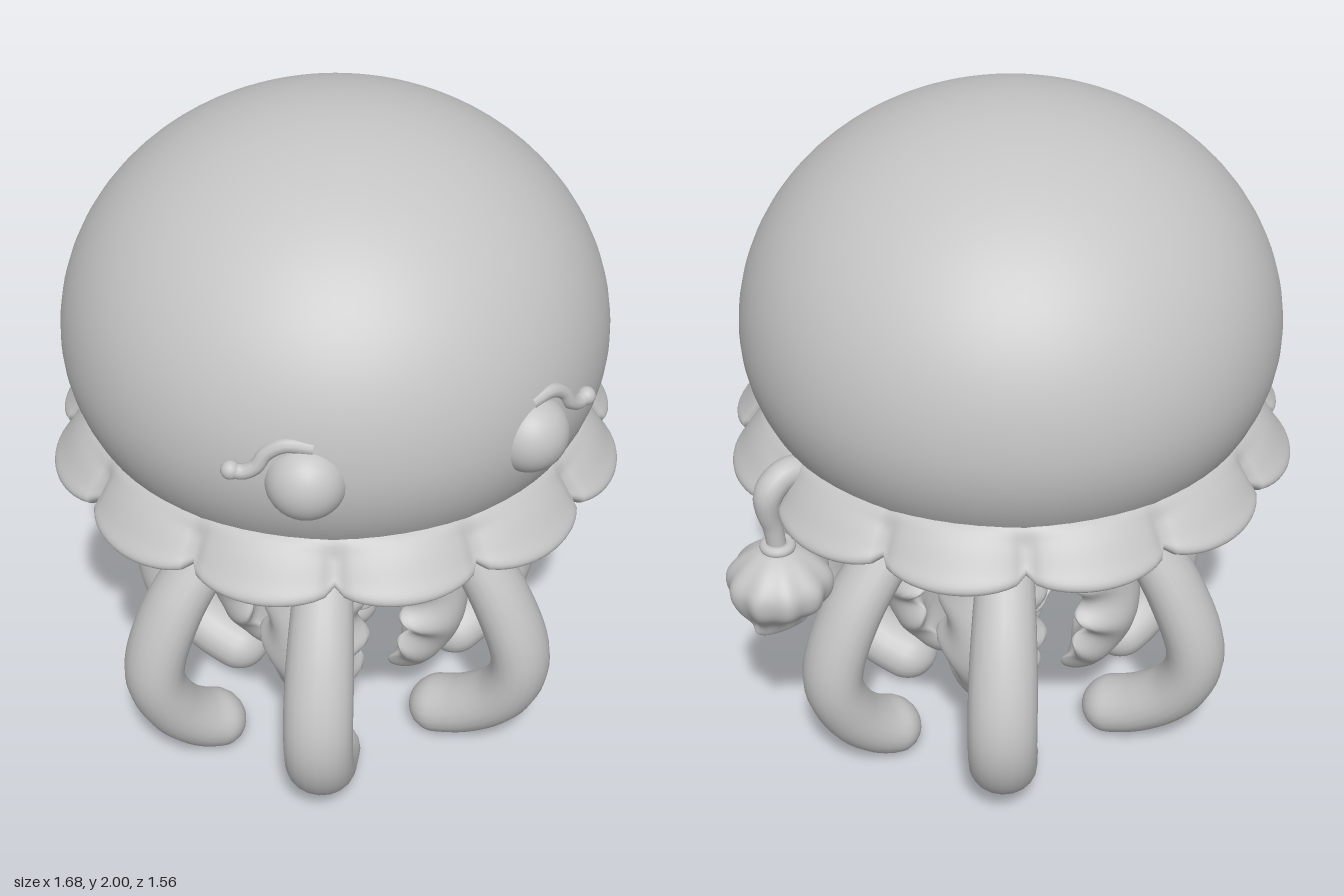
import * as THREE from 'three';

const grey = new THREE.MeshStandardMaterial({ color: 0xc4c4c4 });
grey.name = 'plain grey';

// Closed smooth surface from f(u, v) -> [x, y, z]; v (0..2PI) wraps, and faces are turned outward.
function loft(nu, nv, f) {
  const pos = [], idx = [];
  for (let i = 0; i <= nu; i++)
    for (let j = 0; j < nv; j++) pos.push(...f(i / nu, (j / nv) * Math.PI * 2));
  for (let i = 0; i < nu; i++)
    for (let j = 0; j < nv; j++) {
      const k = (j + 1) % nv, a = i * nv + j, b = i * nv + k, c = a + nv, d = b + nv;
      idx.push(a, c, b, b, c, d);
    }
  const p = (n) => new THREE.Vector3().fromArray(pos, idx[n] * 3);
  let volume = 0;
  for (let n = 0; n < idx.length; n += 3) volume += p(n).dot(p(n + 1).cross(p(n + 2)));
  if (volume < 0) idx.reverse();
  const g = new THREE.BufferGeometry();
  g.setAttribute('position', new THREE.Float32BufferAttribute(pos, 3));
  g.setIndex(idx);
  g.computeVertexNormals();
  return g;
}

const spline = (pts) => new THREE.SplineCurve(pts.map(([x, y]) => new THREE.Vector2(x, y)));

// Limb following a (radius, height) curve; section(u, v) gives [radial, sideways] offsets.
function limb(pts, nu, nv, section) {
  const curve = spline(pts);
  return loft(nu, nv, (u0, v) => {
    const u = 1 - Math.pow(1 - u0, 1.6);
    const c = curve.getPointAt(u), t = curve.getTangentAt(u);
    const [a, b] = section(u, v);
    return [c.x - t.y * a, c.y + t.x * a, b];
  });
}

// Rounded end for a limb
const roundEnd = (u, len) => (u < 1 - len ? 1 : Math.sqrt(Math.max(0, 1 - ((u - 1 + len) / len) ** 2)));

// Bell outline and points on its surface; angle is measured from +z toward +x
const bellR = 0.742, bellY = 1.36;
const bellRadius = (y) => bellR * Math.sqrt(Math.max(0, 1 - ((y - bellY) / (y > bellY ? 0.64 : 0.56)) ** 2));
function onBell(angle, y, out = 0) {
  const r = bellRadius(y) + out;
  return new THREE.Vector3(Math.sin(angle) * r, y, Math.cos(angle) * r);
}

export function createModel() {
  const model = new THREE.Group();
  model.name = 'jellyfish';
  model.position.x = -0.062;
  const add = (name, geometry, parent = model) => {
    const m = new THREE.Mesh(geometry, grey);
    m.name = name;
    parent.add(m);
    return m;
  };

  // Domed bell
  const outline = [];
  for (let i = 0; i <= 40; i++) {
    const a = -0.45 + (i / 40) * (Math.PI / 2 + 0.45);
    outline.push(new THREE.Vector2(Math.max(0, bellR * Math.cos(a)), bellY + Math.sin(a) * (a > 0 ? 0.64 : 0.56)));
  }
  add('bell', new THREE.LatheGeometry(outline, 72));

  // Scalloped skirt of twelve petals, with the hollow underside; its top closes inside the bell
  add('skirt', loft(52, 192, (u, v) => {
    const s = Math.sqrt(Math.abs(Math.sin(6 * v)));
    const p = spline([
      [0, 1.14], [0.28, 1.13], [0.48, 1.085], [0.61, 1.03], [0.69 + 0.02 * s, 1.015 - 0.04 * s],
      [0.72 + 0.055 * s, 1.015 - 0.033 * s], [0.727 + 0.065 * s, 1.03 - 0.025 * s], [0.715 + 0.05 * s, 1.05 - 0.005 * s],
      [0.695 + 0.02 * s, 1.085 + 0.025 * s], [0.66, 1.15], [0.5, 1.21], [0, 1.21],
    ]).getPoint(u);
    return [Math.sin(v) * p.x, p.y, Math.cos(v) * p.x];
  }));

  // Six outer tentacles: one at each side, two in front and two behind
  for (const degrees of [0, 55, 125, 180, 235, 305]) {
    const [bulge, end] = degrees % 180 === 0 ? [0.605, 0.335] : [0.585, 0.25];
    const g = limb(
      [[0.19, 1.17], [0.2, 1.07], [0.25, 0.95], [0.38, 0.77], [bulge - 0.075, 0.57], [bulge, 0.37], [bulge - 0.04, 0.22], [(end + bulge) / 2, 0.115], [end, 0.06]],
      56, 20,
      (u, v) => {
        const w = (0.62 + 0.38 * THREE.MathUtils.smoothstep(u, 0, 0.6) + 2.5 * Math.max(0, 0.12 - u)) * roundEnd(u, 0.065);
        return [Math.cos(v) * 0.084 * w, Math.sin(v) * 0.097 * w];
      });
    add('tentacle', g).rotation.y = THREE.MathUtils.degToRad(degrees);
  }

  // Four frilled inner arms, smooth outside and ruffled along both edges
  for (let i = 0; i < 4; i++) {
    const g = limb(
      [[0.12, 1.17], [0.13, 1.07], [0.17, 0.93], [0.25, 0.7], [0.32, 0.47], [0.29, 0.32], [0.19, 0.17]],
      110, 28,
      (u, v) => {
        const w = (0.36 + 0.74 * Math.sin(Math.PI * Math.pow(u, 1.4) * 0.92)) * roundEnd(u, 0.08);
        const edge = Math.abs(Math.sin(v)) ** 3;
        const phase = u * 44 + (Math.sin(v) > 0 ? 0 : 1.5);
        return [
          w * (Math.cos(v) * 0.065 - edge * (0.06 - 0.02 * Math.sin(phase))),
          w * Math.sin(v) * (0.132 + 0.017 * edge * Math.cos(phase)),
        ];
      });
    add('frilledArm', g).rotation.y = Math.PI / 4 + (i * Math.PI) / 2;
  }

  // Face turned a little to the model's right: round eyes with curled lashes
  const faceTurn = -0.185;
  for (const side of [-1, 1]) {
    const a = faceTurn + side * 0.435;
    const eye = add('eye', new THREE.SphereGeometry(0.1, 32, 24));
    eye.position.copy(onBell(a, 1.345, -0.035));
    eye.rotation.y = a;
    eye.scale.set(1.04, 1.04, 1);
    const lash = [[-0.02, 0.105, -0.015], [0.05, 0.113, -0.006], [0.095, 0.088, -0.003], [0.12, 0.05, 0.002], [0.15, 0.033, 0.008], [0.18, 0.037, 0.016]]
      .map(([d, h, out]) => onBell(a + (side * d) / 0.74, 1.345 + h, out));
    add('eyelash', new THREE.TubeGeometry(new THREE.CatmullRomCurve3(lash), 28, 0.02, 10));
    add('lashTip', new THREE.SphereGeometry(0.025, 16, 12)).position.copy(lash[5]);
  }

  // Hanging charm on the model's left: hook, ring and ridged shell
  const charm = new THREE.Group();
  charm.name = 'charm';
  charm.position.x = 0.752;
  model.add(charm);
  const hook = spline([[-0.16, 1.07], [-0.09, 1.1], [-0.03, 1.1], [0.015, 1.06], [0.022, 1.0], [0.01, 0.94], [0, 0.86]]);
  add('hook', loft(40, 16, (u, v) => {
    const p = hook.getPointAt(u), t = hook.getTangentAt(u);
    const r = 0.042 - 0.015 * THREE.MathUtils.smoothstep(u, 0.45, 0.8);
    const a = Math.cos(v) * r;
    return [p.x - t.y * a, p.y + t.x * a, Math.sin(v) * r];
  }), charm);
  const ring = add('ring', new THREE.TorusGeometry(0.034, 0.016, 12, 28), charm);
  ring.rotation.x = Math.PI / 2;
  ring.position.y = 0.88;
  const shellOutline = spline([[0, 0.885], [0.05, 0.872], [0.1, 0.84], [0.138, 0.795], [0.142, 0.75], [0.122, 0.7], [0.09, 0.65], [0.08, 0.61], [0.05, 0.595], [0, 0.595]]);
  add('shell', loft(40, 96, (u, v) => {
    const p = shellOutline.getPoint(u);
    const r = p.x * (1 + 0.04 * Math.cos(10 * v) * Math.sin(Math.PI * u) ** 2);
    const pinch = 1 - 0.75 * THREE.MathUtils.smoothstep(0.73 - p.y, 0, 0.14);
    return [Math.cos(v) * r, p.y, Math.sin(v) * r * pinch];
  }), charm);

  return model;
}
